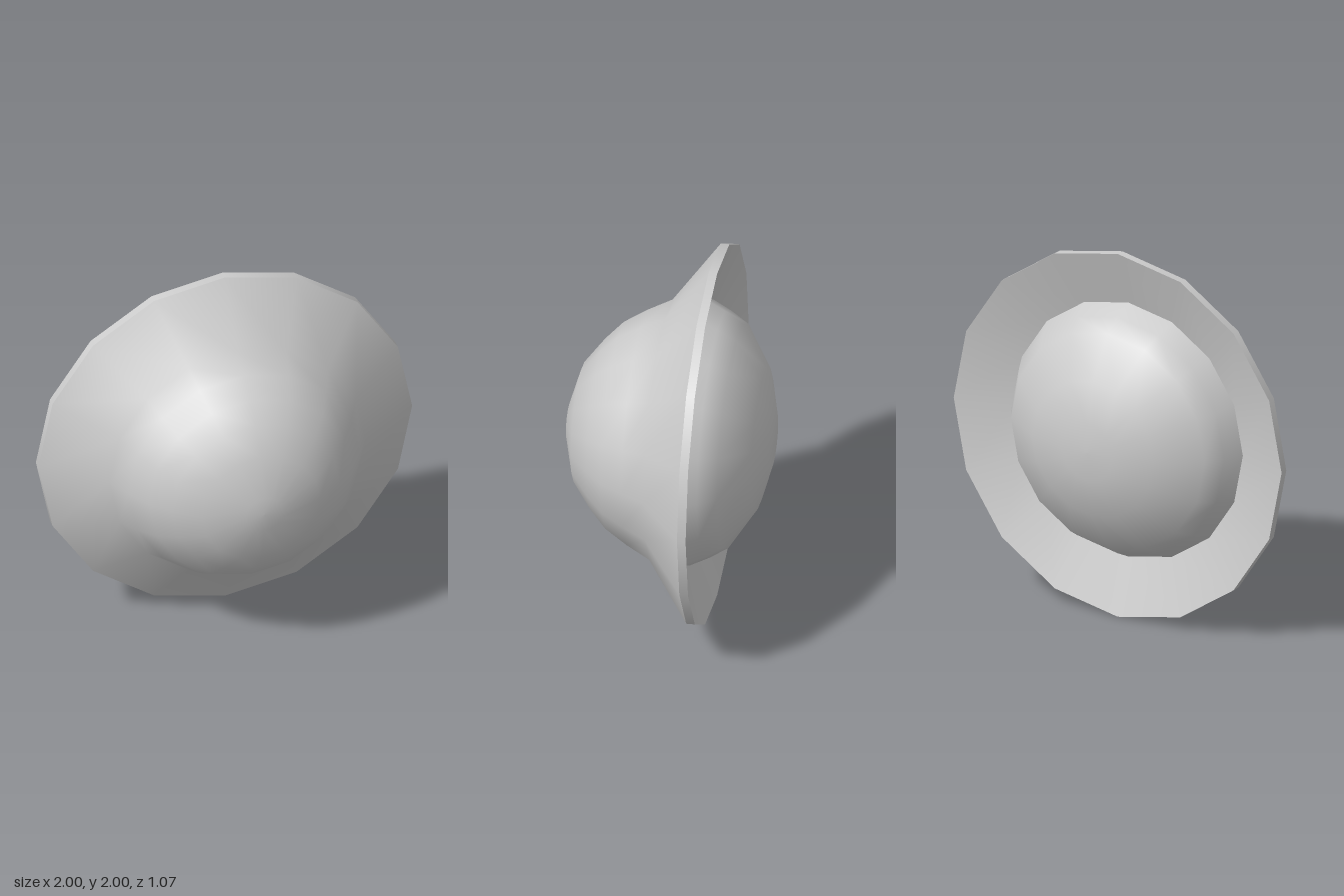
import * as THREE from 'three';

const SIDES = 16;

export function createModel() {
  const group = new THREE.Group();
  const material = new THREE.MeshStandardMaterial({ color: 0xcccccc, side: THREE.DoubleSide });

  // Turn a profile of [radius, z] pairs, listed back to front, around the z axis
  const turned = (name, profile) => {
    const points = profile.map(([r, z]) => new THREE.Vector2(r, z));
    const geometry = new THREE.LatheGeometry(points, SIDES);
    geometry.rotateX(Math.PI / 2);
    const mesh = new THREE.Mesh(geometry, material);
    mesh.name = name;
    mesh.position.y = 1;
    group.add(mesh);
  };

  // Rounded dome bulging out of the back
  turned('backDome', [
    [0, -0.535], [0.155, -0.532], [0.37, -0.475], [0.59, -0.335], [0.65, -0.24], [0.7, -0.14],
  ]);

  // Shallow dished ring between the back dome and the rim
  turned('backDish', [[0.7, -0.14], [1, -0.24]]);

  // Narrow outer band
  turned('rim', [[1, -0.24], [1, -0.195]]);

  // Flared brim blending into the front dome
  turned('frontShell', [
    [1, -0.195], [0.685, 0.035], [0.62, 0.16], [0.545, 0.28], [0.45, 0.37],
    [0.315, 0.472], [0.1, 0.532], [0, 0.535],
  ]);

  return group;
}
